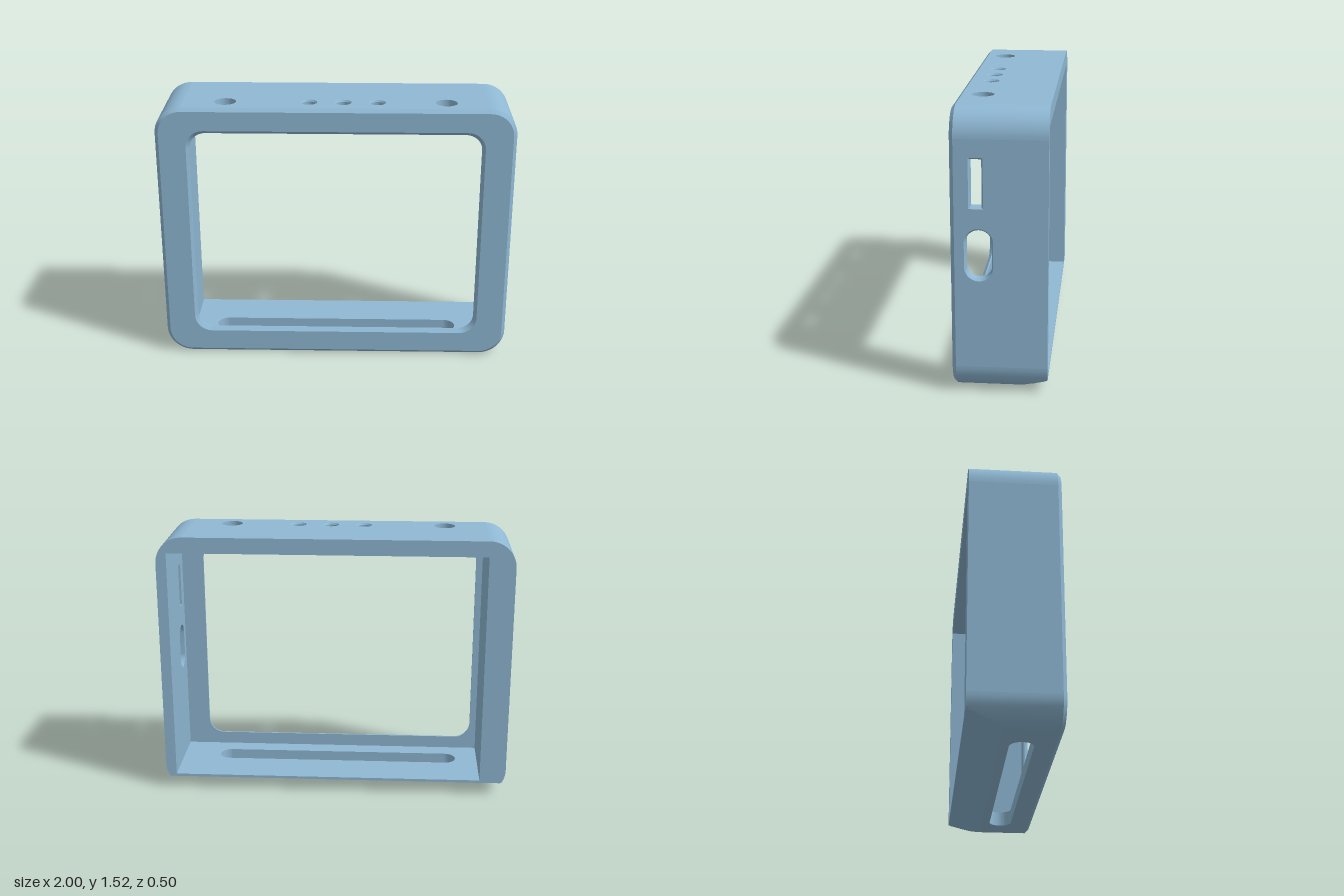
import * as THREE from 'three';
import { mergeGeometries, toCreasedNormals } from 'three/addons/utils/BufferGeometryUtils.js';

const H = 1.52, R = 0.15, BACK = -0.25, FRONT = 0.25, CH = 0.02;
const SHOULDER = FRONT - CH;                       // where the front chamfer starts
const LIP = 0.22;                                  // inner side of the front lip
const CUT_Z = -0.06, CUT_Y = 0.07;                 // sloped cut under the back
const CAV = { x0: -0.85, x1: 0.94, y0: 0.085, y1: 1.43 };

// Height of the underside at depth z
const under = z => Math.max(0, CUT_Y * (CUT_Z - z) / (CUT_Z - BACK));

// Counter-clockwise rounded rectangle; r = 0 gives a rectangle, r = half width a slot or circle
function ring(u0, u1, v0, v1, r = 0, n = 12) {
  const pts = [];
  const corners = [[u1 - r, v0 + r, -1], [u1 - r, v1 - r, 0], [u0 + r, v1 - r, 1], [u0 + r, v0 + r, 2]];
  for (const [u, v, q] of corners)
    for (let i = 0; i <= n; i++) {
      const a = (q + i / n) * Math.PI / 2;
      pts.push(new THREE.Vector2(u + r * Math.cos(a), v + r * Math.sin(a)));
    }
  return pts.filter((p, i) => p.distanceTo(pts[(i + 1) % pts.length]) > 1e-6);
}
const circle = (u, v, r) => ring(u - r, u + r, v - r, v + r, r, 8);

// Mappings from flat (u, v) outlines into space
const atZ = z => p => [p.x, p.y, z];
const atY = y => p => [p.x, y, p.y];
const atX = x => p => [x, p.x, p.y];

// Flat face with holes
function panel(outline, holes, map, flip = false) {
  const shape = new THREE.Shape(outline);
  holes.forEach(h => shape.holes.push(new THREE.Path(h)));
  const g = new THREE.ShapeGeometry(shape, 1);
  const pos = g.attributes.position;
  for (let i = 0; i < pos.count; i++) pos.setXYZ(i, ...map({ x: pos.getX(i), y: pos.getY(i) }));
  const idx = g.index.array;
  if (flip) for (let i = 0; i < idx.length; i += 3) [idx[i], idx[i + 1]] = [idx[i + 1], idx[i]];
  return finish(g);
}

// Strip through successive loops of points
function loft(loops, closed = true) {
  const n = loops[0].length, idx = [];
  for (let k = 0; k < loops.length - 1; k++)
    for (let i = 0; i < (closed ? n : n - 1); i++) {
      const a = k * n + i, b = k * n + (i + 1) % n;
      idx.push(a, b, a + n, b, b + n, a + n);
    }
  const g = new THREE.BufferGeometry();
  g.setAttribute('position', new THREE.Float32BufferAttribute(loops.flat(2), 3));
  g.setIndex(idx);
  return finish(g);
}

function finish(g) {
  g.deleteAttribute('uv');
  g.deleteAttribute('normal');
  return toCreasedNormals(g, 0.5);
}

export function createModel() {
  const group = new THREE.Group();
  const shellBlue = new THREE.MeshStandardMaterial({ color: 0x8fb8d4, side: THREE.DoubleSide });
  shellBlue.name = 'shellBlue';
  const add = (name, ...parts) => {
    const mesh = new THREE.Mesh(mergeGeometries(parts), shellBlue);
    mesh.name = name;
    group.add(mesh);
  };

  // Openings
  const mountHoles = [-0.615, 0.615].map(x => circle(x, 0.12, 0.06));
  const buttonX = [-0.15, 0.04, 0.23];
  const buttonHoles = r => buttonX.map(x => circle(x, 0.12, r));
  const buttonRecess = ring(-0.22, 0.30, 0.05, 0.19, 0.07);
  const bottomSlot = ring(-0.72, 0.72, -0.01, 0.12, 0.065);
  const sideHoles = d => [
    ring(1.01 + d, 1.275 - d, 0.08 + d, 0.155 - d),
    ring(0.625 + d, 0.905 - d, 0.03 + d, 0.18 - d, 0.075 - d),
  ];
  const windowRing = d => ring(-0.83 + d, 0.83 - d, 0.14 + d, 1.39 - d, 0.1 - d / 2);
  const outer = (d = 0) => ring(-1 + d, 1 - d, d, H - d, R - d);

  // Rounded long edges, trimmed by the sloped cut at the back
  const zs = [...Array.from({ length: 11 }, (_, i) => BACK + (CUT_Z - BACK) * i / 10), SHOULDER];
  const profile = outer(), perCorner = profile.length / 4;
  const edges = [0, 1, 2, 3].map(q => {
    const arc = profile.slice(q * perCorner, (q + 1) * perCorner);
    return loft(zs.map(z => arc.map(p => [p.x, Math.max(p.y, under(z)), z])), false);
  });

  // Outside
  const across = (z0, z1) => ring(-1 + R, 1 - R, z0, z1);
  const upright = ring(R, H - R, BACK, SHOULDER);
  add('outerShell', ...edges,
    panel(across(BACK, SHOULDER), [...mountHoles, ...buttonHoles(0.047)], atY(H), true),
    panel(across(CUT_Z, SHOULDER), [bottomSlot], atY(0)),
    panel(across(BACK, CUT_Z), [], p => [p.x, under(p.y), p.y]),
    panel(upright, sideHoles(0), atX(1)),
    panel(upright, [], atX(-1), true));

  // Front frame with chamfered rim and window
  add('frontFrame',
    loft([outer().map(atZ(SHOULDER)), outer(CH).map(atZ(FRONT))]),
    panel(outer(CH), [windowRing(0)], atZ(FRONT)),
    loft([windowRing(0).map(atZ(FRONT)), windowRing(0.018).map(atZ(SHOULDER)), windowRing(0.018).map(atZ(LIP))]));

  // Back rim
  const cavity = ring(CAV.x0, CAV.x1, CAV.y0, CAV.y1);
  const trimmed = profile.map(p => new THREE.Vector2(p.x, Math.max(p.y, CUT_Y)));
  add('backRim', panel(trimmed, [cavity], atZ(BACK), true));

  // Inside of the case
  const level = ring(CAV.x0, CAV.x1, BACK, LIP);
  const wall = ring(CAV.y0, CAV.y1, BACK, LIP);
  add('cavity',
    panel(level, [...mountHoles, buttonRecess], atY(CAV.y1)),
    panel(level, [bottomSlot], atY(CAV.y0), true),
    panel(wall, sideHoles(0.008), atX(CAV.x1), true),
    panel(wall, [], atX(CAV.x0)),
    panel(cavity, [windowRing(0.018)], atZ(LIP), true));

  // Walls of the openings
  add('mountHoles', ...mountHoles.map(h => loft([h.map(atY(CAV.y1)), h.map(atY(H))])));
  const recessY = CAV.y1 + 0.03;
  add('buttonRecess',
    loft([buttonRecess.map(atY(CAV.y1)), buttonRecess.map(atY(recessY))]),
    panel(buttonRecess, buttonHoles(0.04), atY(recessY)));
  const wide = buttonHoles(0.047);
  add('buttonHoles', ...buttonHoles(0.04).map((h, i) =>
    loft([h.map(atY(recessY)), h.map(atY(H - 0.01)), wide[i].map(atY(H))])));
  add('bottomSlot', loft([bottomSlot.map(atY(0)), bottomSlot.map(atY(CAV.y0))]));
  const narrow = sideHoles(0.008);
  add('sidePorts', ...sideHoles(0).map((h, i) =>
    loft([h.map(atX(1)), narrow[i].map(atX(0.99)), narrow[i].map(atX(CAV.x1))])));

  return group;
}
